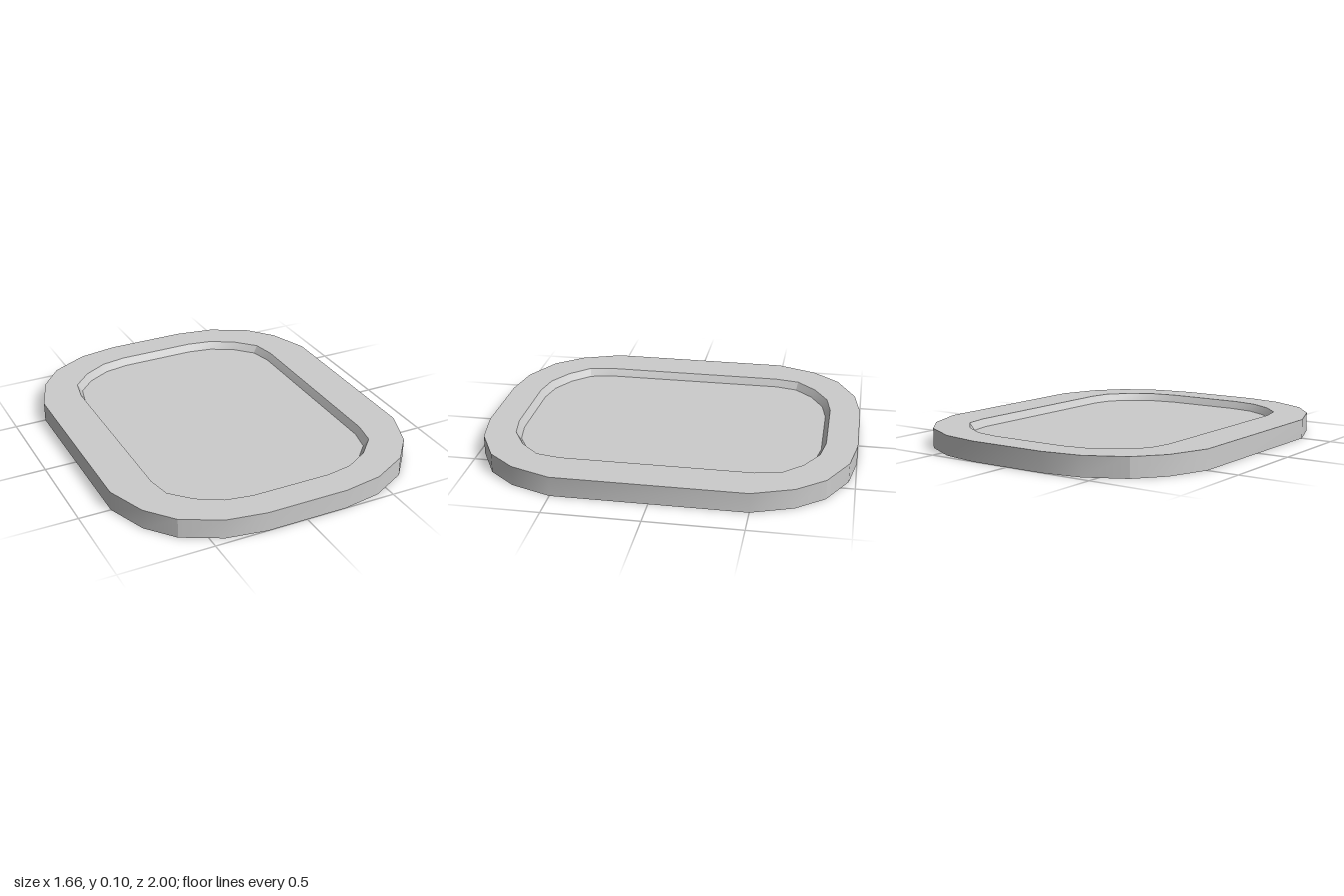
import * as THREE from 'three';
import { mergeGeometries, toCreasedNormals } from 'three/addons/utils/BufferGeometryUtils.js';

const HEIGHT = 0.105, FLOOR = 0.065;

// Mirror one corner (side to end) into a closed counter-clockwise outline
function outline(corner) {
  const points = (sx, sy) => corner.map(([x, y]) => new THREE.Vector2(x * sx, y * sy));
  return [...points(1, 1), ...points(-1, 1).reverse(), ...points(-1, -1), ...points(1, -1).reverse()];
}

const outer = outline([[0.83, 0.5], [0.75, 0.715], [0.63, 0.86], [0.43, 0.965], [0.22, 1]]);
const lip = outline([[0.61, 0.5], [0.585, 0.63], [0.485, 0.735], [0.355, 0.81], [0.215, 0.835]]);
const well = outline([[0.588, 0.5], [0.56, 0.62], [0.47, 0.715], [0.345, 0.785], [0.21, 0.81]]);

// Flat horizontal face, optionally with a hole
function flat(points, y, hole) {
  const shape = new THREE.Shape(points);
  if (hole) shape.holes.push(new THREE.Path(hole));
  const g = new THREE.ShapeGeometry(shape).rotateX(-Math.PI / 2).translate(0, y, 0).toNonIndexed();
  g.deleteAttribute('uv');
  return g;
}

// Wall between two outlines; faces outward when the second one is higher
function wall(a, ya, b, yb) {
  const pos = [];
  const put = (p, y) => pos.push(p.x, y, -p.y);
  a.forEach((p, i) => {
    const j = (i + 1) % a.length;
    put(p, ya); put(a[j], ya); put(b[j], yb);
    put(p, ya); put(b[j], yb); put(b[i], yb);
  });
  const g = new THREE.BufferGeometry();
  g.setAttribute('position', new THREE.Float32BufferAttribute(pos, 3));
  g.computeVertexNormals();
  return g;
}

export function createModel() {
  const group = new THREE.Group();
  group.name = 'tray';
  const material = new THREE.MeshStandardMaterial({ color: 0xcccccc });
  const add = (name, ...parts) => {
    const mesh = new THREE.Mesh(toCreasedNormals(mergeGeometries(parts), 0.37), material);
    mesh.name = name;
    group.add(mesh);
  };

  // Underside, outer edge and flat rim
  const underside = flat(outer, 0).rotateX(Math.PI);
  add('body', underside, wall(outer, 0, outer, HEIGHT), flat(outer, HEIGHT, lip));
  // Shallow recess with slightly sloping sides
  add('recess', wall(lip, HEIGHT, well, FLOOR), flat(well, FLOOR));
  return group;
}
